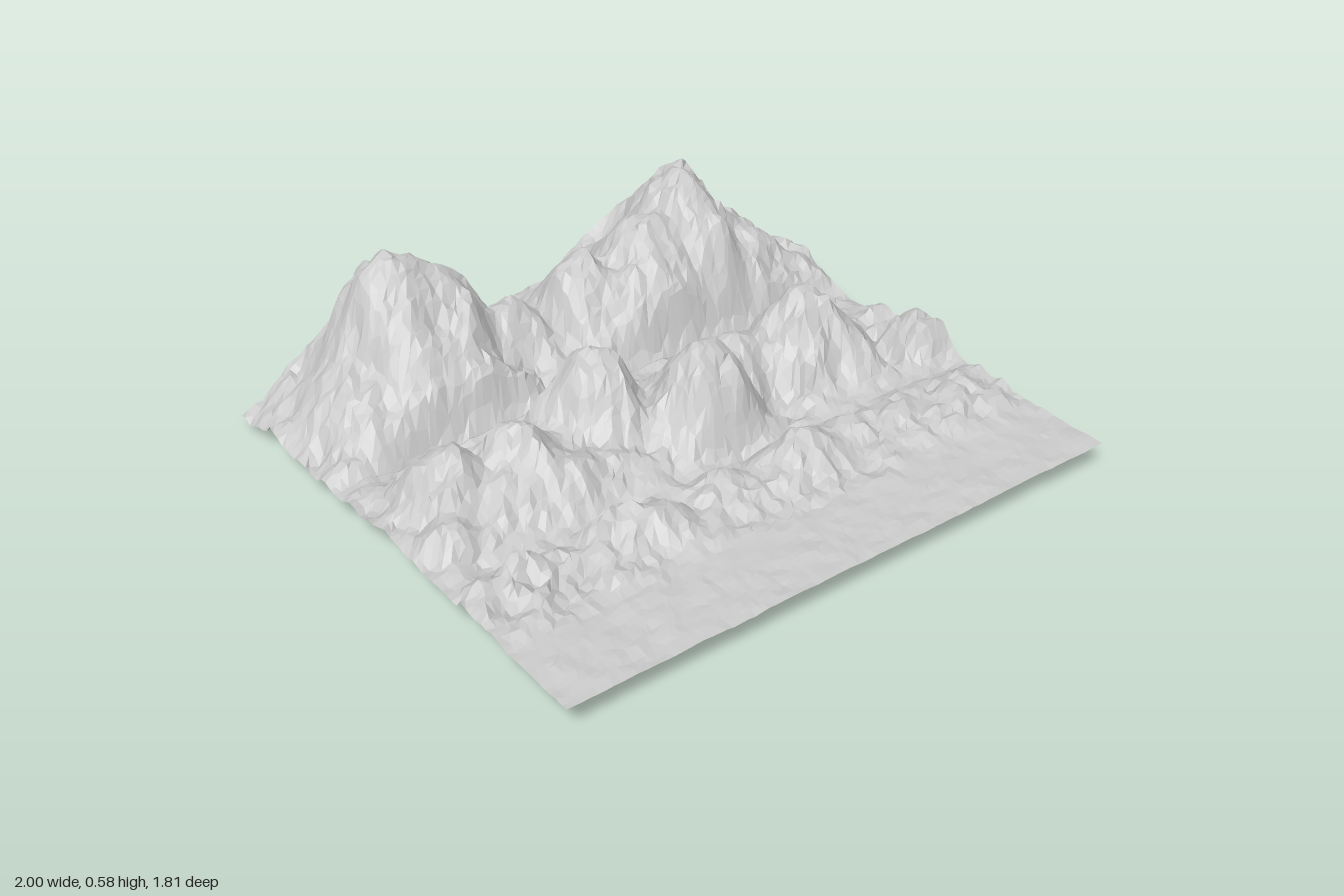
import * as THREE from 'three';

// Hills: [x, z, height above the plain, x radius, z radius]
const backHills = [
  [-0.54, -0.7, 0.46, 0.23, 0.29], [-0.38, -0.63, 0.34, 0.15, 0.28],
  [-0.78, -0.58, 0.17, 0.14, 0.24], [-0.48, -0.92, 0.16, 0.2, 0.12],
  [-0.5, -0.43, 0.13, 0.25, 0.13], [-0.17, -0.6, 0.23, 0.14, 0.17],
  [0.57, -0.68, 0.46, 0.2, 0.28], [0.34, -0.58, 0.365, 0.18, 0.24],
  [0.1, -0.6, 0.31, 0.16, 0.2], [0.5, -0.92, 0.2, 0.28, 0.13],
  [0.55, -0.55, 0.34, 0.19, 0.17], [0.25, -0.46, 0.24, 0.24, 0.14],
  [0.78, -0.58, 0.2, 0.14, 0.2], [0.93, -0.55, 0.1, 0.12, 0.2],
];
const midHills = [
  [0.1, 0.08, 0.3, 0.17, 0.17], [-0.21, -0.1, 0.275, 0.18, 0.16],
  [0.56, -0.02, 0.26, 0.16, 0.17], [-0.54, -0.02, 0.2, 0.15, 0.17],
  [-0.77, -0.06, 0.18, 0.15, 0.17], [-0.5, 0.15, 0.1, 0.25, 0.12],
  [0.33, -0.06, 0.17, 0.15, 0.16], [0.68, 0.05, 0.16, 0.13, 0.14],
  [0.94, 0.13, 0.1, 0.13, 0.12], [-0.87, 0.14, 0.08, 0.1, 0.1],
  [0, 0, 0.07, 0.9, 0.2],
];
const frontHills = [
  [-0.42, 0.4, 0.09, 0.14, 0.1], [0.2, 0.4, 0.1, 0.13, 0.11],
  [-0.82, 0.38, 0.06, 0.16, 0.09], [0.6, 0.4, 0.05, 0.2, 0.13],
  [-0.1, 0.37, 0.04, 0.12, 0.09], [0.88, 0.42, 0.04, 0.12, 0.12],
  [0, 0.45, 0.02, 1.2, 0.12],
];
// Hollows that sink below the plain
const hollows = [
  [-0.67, -0.25, 0.1, 0.13, 0.07], [0.76, -0.24, 0.08, 0.14, 0.08],
  [0.3, 0.17, 0.05, 0.08, 0.07], [-0.62, 0.22, 0.03, 0.1, 0.06],
  [0.8, 0.12, 0.06, 0.08, 0.1], [-0.1, -0.93, 0.05, 0.1, 0.1],
  [1, -0.93, 0.06, 0.13, 0.12], [-1, -0.9, 0.04, 0.12, 0.15],
  [-1, -0.55, 0.04, 0.1, 0.2],
];

function hash(i, j) {
  const s = Math.sin(i * 127.1 + j * 311.7) * 43758.5453;
  return s - Math.floor(s);
}

// Smooth lattice noise in -1..1
function noise(x, z) {
  const i = Math.floor(x), j = Math.floor(z);
  const u = THREE.MathUtils.smoothstep(x - i, 0, 1);
  const v = THREE.MathUtils.smoothstep(z - j, 0, 1);
  const { lerp } = THREE.MathUtils;
  const near = lerp(hash(i, j), hash(i + 1, j), u);
  const far = lerp(hash(i, j + 1), hash(i + 1, j + 1), u);
  return 2 * lerp(near, far, v) - 1;
}

// Layered rough detail
function rough(x, z) {
  return 0.3 * noise(x * 7, z * 7) + 0.35 * noise(x * 14 + 9, z * 14)
    + 0.35 * noise(x * 27, z * 27 + 5);
}

const bell = (x, z, [cx, cz, h, rx, rz], sharp) =>
  h * Math.exp(-((((x - cx) / rx) ** 2 + ((z - cz) / rz) ** 2) ** sharp));

// Blend hills so the tallest dominates
function range(x, z, { hills, sharp }) {
  let sum = 0;
  for (const hill of hills) sum += bell(x, z, hill, sharp) ** 4;
  return sum ** 0.25;
}

function heightAt(x, z, band) {
  const wx = x + 0.018 * noise(x * 9 + 3, z * 9) + 0.014 * noise(x * 20, z * 20);
  const wz = z + 0.018 * noise(x * 9, z * 9 + 7) + 0.014 * noise(x * 20 + 4, z * 20);
  const rise = band.fade(z);
  const hill = range(wx, wz, band) * rise;
  const detail = rough(x, z) * (0.025 + 0.025 * rise) * band.calm(z);
  let y = 0.1 + hill + detail;
  for (const hollow of hollows) y -= bell(x, z, hollow, 1);
  return Math.max(0, y);
}

// One strip of terrain, as an irregular faceted sheet
function terrainStrip(band, material) {
  const cols = 80, rows = Math.round((band.z1 - band.z0) / 0.025);
  const geometry = new THREE.PlaneGeometry(2, band.z1 - band.z0, cols, rows);
  geometry.rotateX(-Math.PI / 2);
  geometry.translate(0, 0, (band.z0 + band.z1) / 2);
  const pos = geometry.attributes.position;
  for (let r = 0; r <= rows; r++) {
    for (let c = 0; c <= cols; c++) {
      const k = r * (cols + 1) + c;
      const inner = r > 0 && r < rows && c > 0 && c < cols;
      let x = pos.getX(k), z = pos.getZ(k);
      if (inner) {
        x += (hash(c, r + band.seed) - 0.5) * 0.019;
        z += (hash(r + band.seed, c + 50) - 0.5) * 0.019;
      }
      pos.setXYZ(k, x, heightAt(x, z, band), z);
    }
  }
  geometry.computeVertexNormals();
  const mesh = new THREE.Mesh(geometry, material);
  mesh.name = band.name;
  return mesh;
}

export function createModel() {
  const { smoothstep } = THREE.MathUtils;
  const material = new THREE.MeshStandardMaterial({
    color: 0xcccccc, flatShading: true, side: THREE.DoubleSide,
  });
  const bands = [
    { name: 'backMountains', z0: -0.905, z1: -0.305, seed: 11, hills: backHills, sharp: 1,
      fade: z => smoothstep(-z, 0.3, 0.37), calm: () => 1 },
    { name: 'middleHills', z0: -0.305, z1: 0.3, seed: 131, hills: midHills, sharp: 1.25,
      fade: z => smoothstep(z, -0.305, -0.17) * smoothstep(-z, -0.3, -0.2), calm: () => 1 },
    { name: 'foothillsAndPlain', z0: 0.3, z1: 0.905, seed: 257, hills: frontHills, sharp: 1,
      fade: z => smoothstep(z, 0.3, 0.36), calm: z => 0.2 + 0.8 * smoothstep(-z, -0.68, -0.5) },
  ];
  const model = new THREE.Group();
  model.name = 'mountainTerrain';
  for (const band of bands) model.add(terrainStrip(band, material));
  return model;
}
